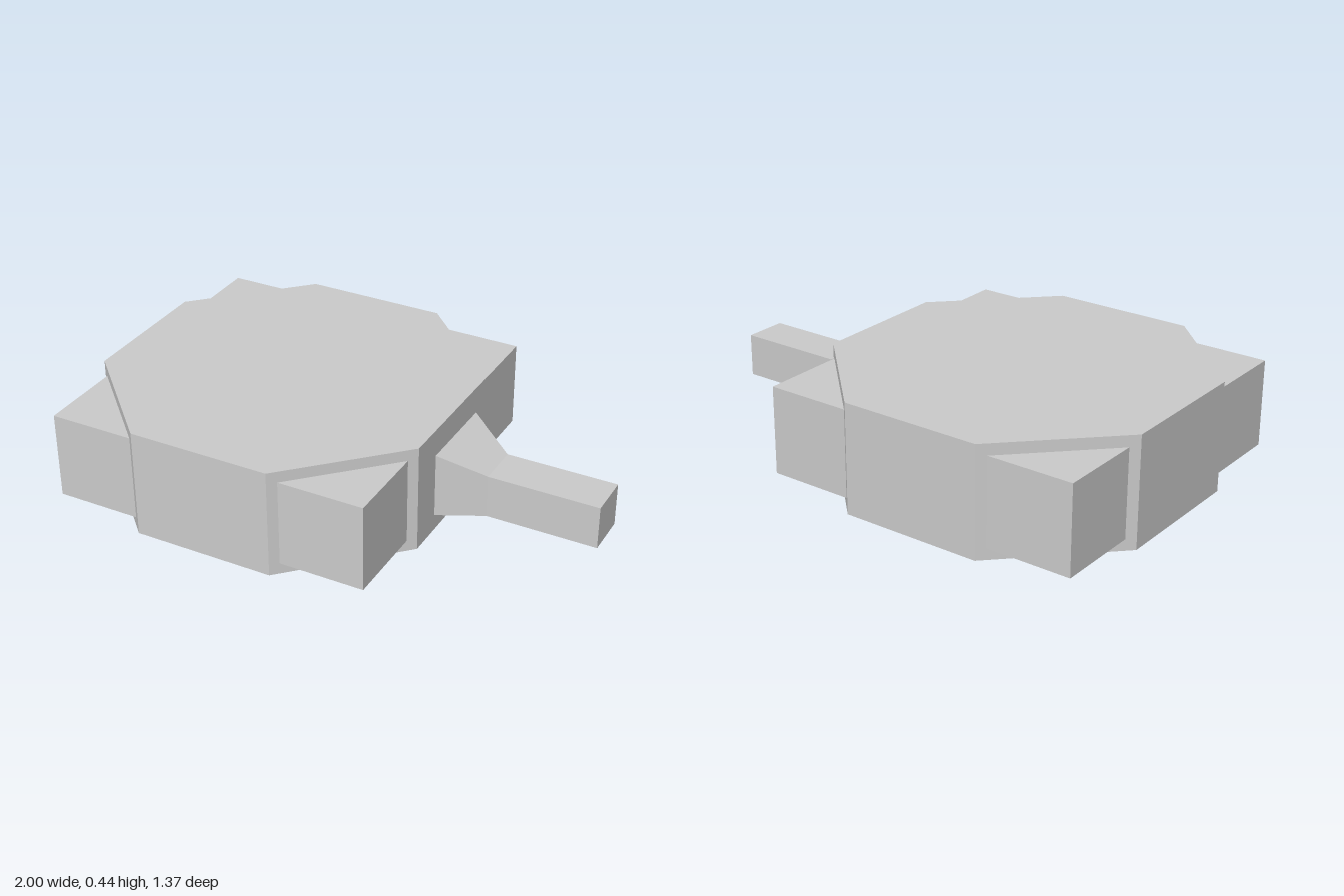
import * as THREE from 'three';

const CENTRE_X = -0.315; // middle of the octagonal body

export function createModel() {
  const group = new THREE.Group();
  const material = new THREE.MeshStandardMaterial({ color: 0xcccccc, flatShading: true });
  const add = (name, geometry, x = 0, y = 0, z = 0) => {
    const mesh = new THREE.Mesh(geometry, material);
    mesh.name = name;
    mesh.position.set(x, y, z);
    group.add(mesh);
  };

  // Octagonal body: a square with chamfered corners
  const half = 0.685, side = 0.285;
  const outline = new THREE.Shape([
    [half, -side], [half, side], [side, half], [-side, half],
    [-half, side], [-half, -side], [-side, -half], [side, -half],
  ].map(([x, z]) => new THREE.Vector2(x, z)));
  const body = new THREE.ExtrudeGeometry(outline, { depth: 0.44, bevelEnabled: false });
  body.rotateX(-Math.PI / 2);
  add('body', body, CENTRE_X);

  // Four blocks filling the chamfered corners
  const size = 0.342, offset = 0.656 - size / 2;
  for (const sx of [-1, 1]) {
    for (const sz of [-1, 1]) {
      add('cornerBlock', new THREE.BoxGeometry(size, 0.35, size),
        CENTRE_X + sx * offset, 0.22, sz * offset);
    }
  }

  // Handle: straight bar flaring toward the body, flat underneath
  const sections = [ // x, half width, top
    [0.385, 0.175, 0.352],
    [0.56, 0.088, 0.264],
    [1, 0.088, 0.264],
  ];
  const handle = new THREE.BoxGeometry(2, 1, 2, 2, 1, 1).toNonIndexed();
  const p = handle.attributes.position;
  for (let i = 0; i < p.count; i++) {
    const [x, halfWidth, top] = sections[Math.round(p.getX(i)) + 1];
    p.setXYZ(i, x, p.getY(i) > 0 ? top : 0.09, p.getZ(i) * halfWidth);
  }
  handle.computeVertexNormals();
  add('handle', handle);

  return group;
}
